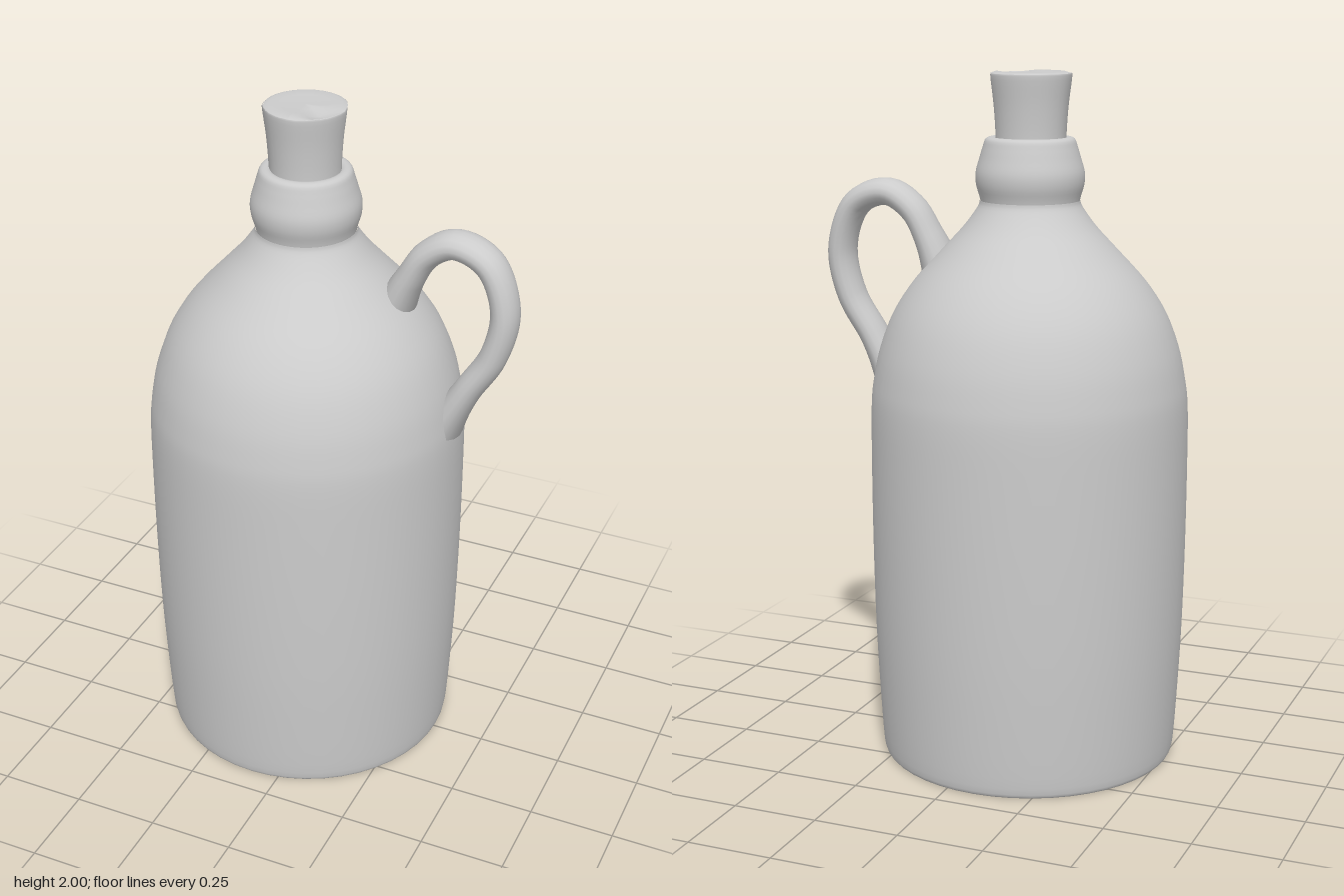
import * as THREE from 'three';

const material = new THREE.MeshStandardMaterial({ color: 0xcccccc });

function addMesh(parent, name, geometry) {
  const mesh = new THREE.Mesh(geometry, material);
  mesh.name = name;
  parent.add(mesh);
  return mesh;
}

const toPoints = (list) => list.map(([r, y]) => new THREE.Vector2(r, y));
const smoothProfile = (list, n) => new THREE.SplineCurve(toPoints(list)).getPoints(n);

export function createModel() {
  const group = new THREE.Group();
  group.name = 'jug';

  // Everything turned shares one axis, left of centre because of the handle
  const turned = new THREE.Group();
  turned.name = 'bottle';
  turned.position.x = -0.085;
  group.add(turned);

  // Body: slightly tapered cylinder running into a domed shoulder
  addMesh(turned, 'body', new THREE.LatheGeometry(smoothProfile([
    [0.425, 0], [0.435, 0.03], [0.446, 0.2], [0.455, 0.4], [0.46, 0.65], [0.461, 0.9],
    [0.459, 1.05], [0.45, 1.13], [0.43, 1.22], [0.391, 1.32], [0.332, 1.41],
    [0.25, 1.5], [0.19, 1.565], [0.15, 1.62], [0.143, 1.64],
  ], 56), 48));

  // Flat underside
  const base = new THREE.CircleGeometry(0.425, 48);
  base.rotateX(Math.PI / 2);
  addMesh(turned, 'base', base);

  // Rounded collar around the mouth
  addMesh(turned, 'collar', new THREE.LatheGeometry(smoothProfile([
    [0.138, 1.62], [0.144, 1.65], [0.154, 1.685], [0.155, 1.72], [0.144, 1.76],
    [0.135, 1.79], [0.126, 1.813], [0.106, 1.818], [0.09, 1.808],
  ], 28), 40));

  // Cork: flared side with shallow irregular flutes
  const side = new THREE.LatheGeometry(smoothProfile([
    [0.1, 1.79], [0.101, 1.84], [0.106, 1.91], [0.115, 1.985], [0.113, 1.996],
  ], 14), 32);
  const pos = side.attributes.position;
  for (let i = 0; i < pos.count; i++) {
    const a = Math.atan2(pos.getX(i), pos.getZ(i));
    const k = 1 + 0.012 * Math.sin(5 * a + 1) + 0.01 * Math.sin(9 * a);
    pos.setX(i, pos.getX(i) * k);
    pos.setZ(i, pos.getZ(i) * k);
  }
  addMesh(turned, 'corkSide', side);

  // Cork top, with a shallow chip toward the front left
  const top = new THREE.LatheGeometry(
    toPoints([[0.114, 1.995], [0.1, 2], [0.07, 1.998], [0.035, 1.997], [0, 1.997]]), 32);
  const tp = top.attributes.position;
  for (let i = 0; i < tp.count; i++) {
    const d = Math.hypot(tp.getX(i) - 0.07, tp.getZ(i) - 0.05);
    const r = Math.hypot(tp.getX(i), tp.getZ(i));
    if (r < 0.11) tp.setY(i, tp.getY(i) - 0.018 * Math.max(0, 1 - d / 0.06));
  }
  top.computeVertexNormals();
  addMesh(turned, 'corkTop', top);

  // Handle: loop with an oval section, flaring where it meets the shoulder
  const path = new THREE.CatmullRomCurve3([
    [0.17, 1.43, -0.035], [0.215, 1.525, -0.035], [0.265, 1.605, -0.036], [0.345, 1.65, -0.037],
    [0.445, 1.612, -0.035], [0.497, 1.48, -0.031], [0.472, 1.34, -0.025],
    [0.405, 1.225, -0.018], [0.335, 1.1, -0.015],
  ].map((p) => new THREE.Vector3(...p)));
  const rings = 56, sides = 16;
  const handle = new THREE.TubeGeometry(path, rings, 0.04, sides);
  const hp = handle.attributes.position;
  const v = new THREE.Vector3();
  for (let i = 0; i < hp.count; i++) {
    const t = Math.floor(i / (sides + 1)) / rings;
    const c = path.getPointAt(t);
    const end = Math.max(0, 1 - Math.min(t, 1 - t) / 0.17);
    const flare = 1 + 0.5 * end * end;
    v.fromBufferAttribute(hp, i).sub(c).multiplyScalar(flare);
    v.z *= 1.42;
    v.add(c);
    hp.setXYZ(i, v.x, v.y, v.z);
  }
  // Normals follow the oval section
  const hn = handle.attributes.normal;
  for (let i = 0; i < hn.count; i++) {
    v.fromBufferAttribute(hn, i);
    v.z /= 1.42;
    v.normalize();
    hn.setXYZ(i, v.x, v.y, v.z);
  }
  addMesh(group, 'handle', handle);

  return group;
}
